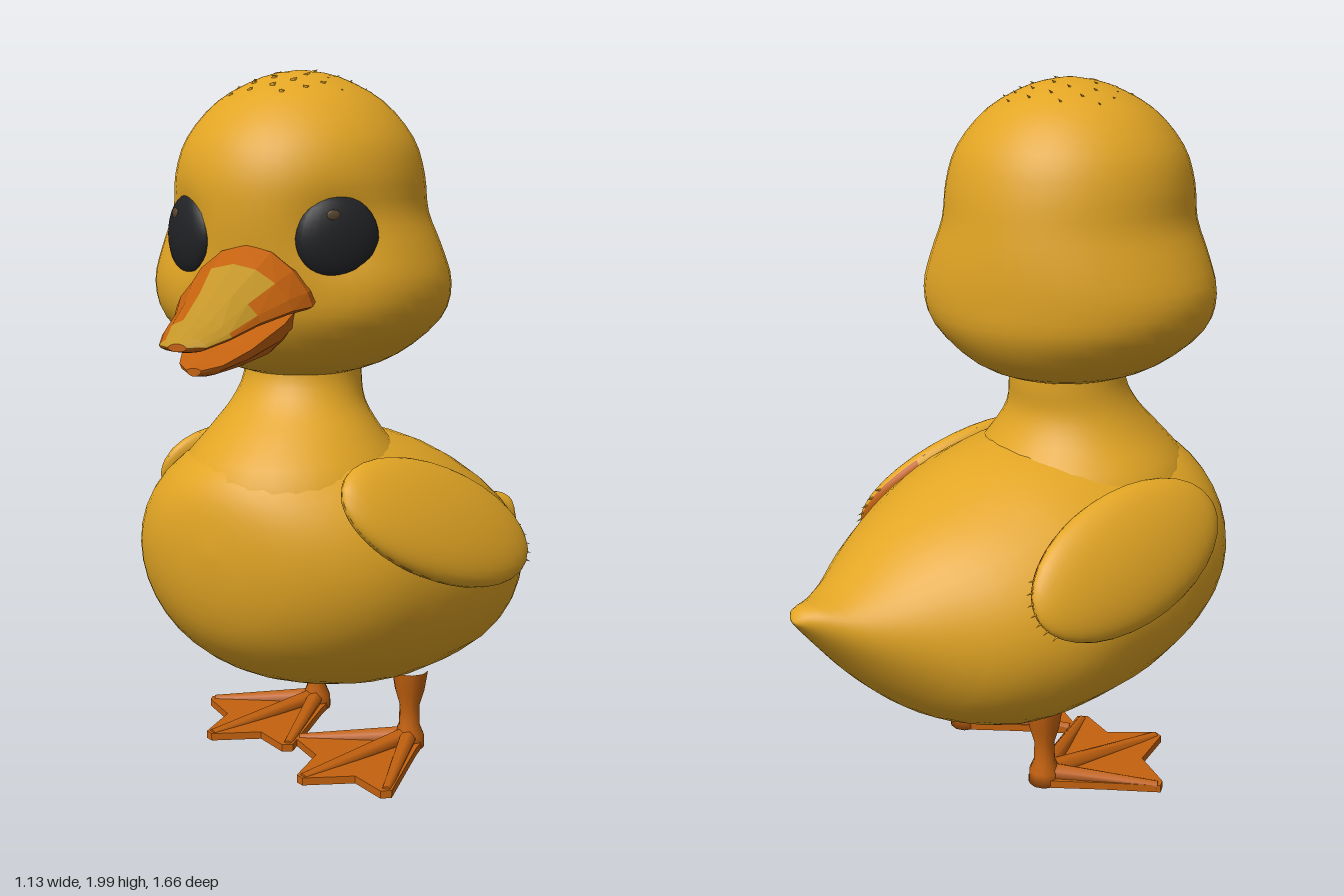
import * as THREE from 'three';

const mat = (name, color) => Object.assign(new THREE.MeshStandardMaterial({ color }), { name });

// Smoothly resample a table of rows (Catmull-Rom on every column)
function resample(rows, steps) {
  const out = [], n = rows.length - 1;
  for (let i = 0; i < n; i++) {
    const [p, a, b, q] = [rows[Math.max(i - 1, 0)], rows[i], rows[i + 1], rows[Math.min(i + 2, n)]];
    for (let s = 0; s < steps; s++) {
      const t = s / steps;
      out.push(a.map((v, k) => v + 0.5 * t * (b[k] - p[k] + t * (2 * p[k] - 5 * v + 4 * b[k] - q[k]
        + t * (3 * (v - b[k]) + q[k] - p[k])))));
    }
  }
  out.push(rows[n]);
  return out;
}

// Closed skin over rows; point(row, angle) gives each vertex, rule picks a material per face
function loft(rows, seg, point, rule = () => 0) {
  const pos = [], faces = [[], []];
  for (const r of rows) for (let j = 0; j < seg; j++) pos.push(...point(r, j / seg * Math.PI * 2));
  const id = (i, j) => i * seg + j % seg;
  for (let i = 0; i < rows.length - 1; i++) for (let j = 0; j < seg; j++) {
    const a = id(i, j), b = id(i, j + 1), c = id(i + 1, j), d = id(i + 1, j + 1);
    const mid = [0, 1, 2].map(k => (pos[a * 3 + k] + pos[b * 3 + k] + pos[c * 3 + k] + pos[d * 3 + k]) / 4);
    faces[rule(mid, (j + 0.5) / seg * Math.PI * 2)].push(a, b, c, b, d, c);
  }
  const last = rows.length - 1;
  for (let j = 1; j < seg - 1; j++) {
    faces[0].push(id(0, 0), id(0, j + 1), id(0, j), id(last, 0), id(last, j), id(last, j + 1));
  }
  const g = new THREE.BufferGeometry();
  g.setAttribute('position', new THREE.Float32BufferAttribute(pos, 3));
  g.setIndex([...faces[0], ...faces[1]]);
  g.addGroup(0, faces[0].length, 0);
  g.addGroup(faces[0].length, faces[1].length, 1);
  g.computeVertexNormals();
  return g;
}

export function createModel() {
  const root = new THREE.Group();
  root.name = 'duckling';
  const down = mat('yellowDown', 0xe2a524), orange = mat('orangeSkin', 0xc4620f);
  const patch = mat('billPatch', 0xc39528), black = mat('eyeBlack', 0x212225);
  const glint = mat('eyeGlint', 0x5a4630), dark = mat('nostrilBrown', 0x5e2c0a);

  const add = (parent, name, geo, material, x = 0, y = 0, z = 0) => {
    const m = new THREE.Mesh(geo, material);
    m.name = name;
    m.position.set(x, y, z);
    parent.add(m);
    return m;
  };

  // Body, from tail to breast: z, top, bottom, half width, centre x
  const bodyRows = resample([
    [-0.83, 0.615, 0.605, 0.01, 0.17], [-0.8, 0.645, 0.57, 0.06, 0.16], [-0.72, 0.66, 0.475, 0.14, 0.13],
    [-0.62, 0.71, 0.36, 0.235, 0.09], [-0.5, 0.8, 0.255, 0.35, 0.04], [-0.35, 0.885, 0.19, 0.435, 0.01],
    [-0.2, 0.95, 0.18, 0.475, -0.01], [0, 0.99, 0.195, 0.49, -0.03], [0.2, 1.0, 0.25, 0.45, -0.06],
    [0.33, 0.96, 0.32, 0.375, -0.08], [0.42, 0.9, 0.42, 0.26, -0.09], [0.465, 0.82, 0.54, 0.14, -0.1],
    [0.48, 0.7, 0.66, 0.02, -0.1]], 3);
  add(root, 'body', loft(bodyRows, 36, ([z, t, b, w, cx], a) =>
    [cx + w * Math.cos(a), (t + b) / 2 + (t - b) / 2 * Math.sin(a), z]), down);

  // Neck, from top down: y, radius x, radius z, centre x, centre z
  const neckRows = resample([
    [1.24, 0.17, 0.17, -0.07, 0.05], [1.14, 0.17, 0.17, -0.07, 0.05], [1.06, 0.195, 0.19, -0.07, 0.075],
    [0.98, 0.25, 0.25, -0.065, 0.1], [0.88, 0.325, 0.33, -0.065, 0.105], [0.75, 0.37, 0.36, -0.06, 0.1]], 3);
  add(root, 'neck', loft(neckRows, 32, ([y, rx, rz, cx, cz], a) =>
    [cx + rx * Math.cos(a), y, cz + rz * Math.sin(a)]), down);

  // Head group, turned a little to its left
  const head = new THREE.Group();
  head.name = 'head';
  head.position.set(-0.06, 0, 0.07);
  head.rotation.y = 0.17;
  root.add(head);

  // Head skin, from top down: y, half width, front radius, back radius; hollowed at the eyes
  const headRows = resample([
    [1.985, 0.01, 0.01, 0.01], [1.965, 0.11, 0.11, 0.11], [1.9, 0.23, 0.24, 0.23], [1.8, 0.315, 0.335, 0.315],
    [1.7, 0.347, 0.375, 0.35], [1.6, 0.358, 0.38, 0.365], [1.5, 0.4, 0.37, 0.375], [1.4, 0.43, 0.355, 0.375],
    [1.3, 0.4, 0.335, 0.36], [1.2, 0.28, 0.265, 0.285], [1.15, 0.15, 0.15, 0.16], [1.13, 0.02, 0.02, 0.02]], 3);
  add(head, 'headSkin', loft(headRows, 48, ([y, w, f, b], a) => {
    const x = w * Math.cos(a), z = (Math.sin(a) > 0 ? f : b) * Math.sin(a);
    const d2 = (Math.abs(x) - 0.235) ** 2 + (y - 1.535) ** 2 + (z - 0.3) ** 2;
    const k = 1 - 0.09 * Math.exp(-d2 / 0.01);
    return [x * k, y, z * k];
  }), down);

  // Eyes
  const ball = new THREE.SphereGeometry(1, 24, 16);
  for (const s of [1, -1]) {
    const eye = new THREE.Group();
    eye.name = s > 0 ? 'leftEye' : 'rightEye';
    eye.rotation.y = s * 0.67;
    eye.position.set(Math.sin(s * 0.67) * 0.345, 1.537, Math.cos(0.67) * 0.345);
    head.add(eye);
    add(eye, 'eyeball', ball, black).scale.set(0.115, 0.112, 0.042);
    add(eye, 'glint', ball, glint, -0.02, 0.06, 0.034).scale.set(0.018, 0.014, 0.005);
  }

  // Bill halves: z, half width, edge y, top y, bottom y
  const billPoint = ([z, w, e, t, b], a) => {
    const s = Math.sin(a);
    return [w * Math.cos(a), e + (s > 0 ? (t - e) * Math.pow(s, 1.5) : (e - b) * s), z];
  };
  const flat = g => {
    const n = g.toNonIndexed();
    n.computeVertexNormals();
    return n;
  };
  const upper = [
    [0.27, 0.16, 1.38, 1.49, 1.36], [0.37, 0.187, 1.365, 1.52, 1.345], [0.45, 0.165, 1.36, 1.475, 1.335],
    [0.55, 0.122, 1.338, 1.415, 1.315], [0.66, 0.095, 1.312, 1.355, 1.292], [0.735, 0.065, 1.295, 1.32, 1.28],
    [0.765, 0.025, 1.295, 1.305, 1.285]];
  add(head, 'upperBill', flat(loft(upper, 16, billPoint, ([x, , z], a) =>
    Math.sin(a) > 0.1 && x > -0.045 && x < 0.09 && z > 0.46 ? 1 : 0)), [orange, patch]);
  const lower = [
    [0.27, 0.12, 1.37, 1.385, 1.25], [0.4, 0.12, 1.32, 1.33, 1.22], [0.55, 0.095, 1.27, 1.275, 1.213],
    [0.64, 0.06, 1.24, 1.245, 1.21], [0.68, 0.02, 1.23, 1.235, 1.215]];
  add(head, 'lowerBill', flat(loft(lower, 14, billPoint)), orange);
  for (const s of [1, -1]) {
    const n = add(head, 'nostril', ball, dark, s * 0.07, 1.452, 0.42);
    n.scale.set(0.008, 0.008, 0.02);
    n.rotation.x = 0.5;
  }

  // Small feathers lying over the crown
  const feather = new THREE.ConeGeometry(0.009, 0.05, 4);
  for (let i = 0; i < 36; i++) {
    const r = 0.04 + 0.16 * Math.sqrt(i / 36), a = i * 2.4;
    const f = add(head, 'crownFeather', feather, down, r * Math.cos(a), 1.982 - 1.75 * r * r, r * Math.sin(a));
    f.rotation.set(-1.25 - r * Math.sin(a), 0.5 * Math.sin(i * 7), 0);
  }

  // Wings: flattened ellipsoids on a skewed frame (u to the tip, v to the upper edge)
  function wing(name, side, centre, u, v) {
    const U = new THREE.Vector3(...u), V = new THREE.Vector3(...v);
    const N = U.clone().cross(V).normalize().multiplyScalar(0.07);
    if (N.x * side < 0) N.negate();
    const frame = new THREE.Matrix4().makeBasis(V, U, N);
    const flip = frame.determinant() < 0;
    const g = new THREE.Group();
    g.name = name;
    g.position.set(...centre);
    root.add(g);
    const piece = (label, phi, t0, t1, material) => {
      const geo = new THREE.SphereGeometry(1, 20, 16, phi, Math.PI, t0, t1 - t0).applyMatrix4(frame);
      if (flip) {
        const ix = geo.index.array;
        for (let i = 0; i < ix.length; i += 3) [ix[i], ix[i + 1]] = [ix[i + 1], ix[i]];
      }
      add(g, label, geo, material);
    };
    piece('outerFeathers', 0, 0, Math.PI, down);
    piece('innerFeathers', Math.PI, 0.9, Math.PI, down);
    piece('tipUnderside', Math.PI, 0, 0.9, orange);
    // Frayed feathers at the wing tip
    for (let i = 0; i < 7; i++) {
      const a = -0.5 + i * 0.15;
      const p = U.clone().multiplyScalar(Math.cos(a) * 0.98).addScaledVector(V, Math.sin(a) * 0.98);
      const f = add(g, 'tipFeather', feather, down, p.x, p.y, p.z);
      f.quaternion.setFromUnitVectors(new THREE.Vector3(0, 1, 0), p.normalize());
    }
  }
  wing('leftWing', 1, [0.385, 0.75, 0.07], [0.12, -0.07, -0.29], [-0.1, 0.17, 0]);
  wing('rightWing', -1, [-0.46, 0.745, -0.2], [0.08, -0.07, -0.31], [0.07, 0.17, 0]);

  // Legs and webbed feet
  const toes = [[0.12, 0.36], [-0.13, 0.41], [-0.3, 0.16]];
  const web = new THREE.Shape([[0.035, -0.03], [0.055, 0.06], [0.135, 0.35], [0.11, 0.37], [0.0, 0.32],
    [-0.12, 0.41], [-0.145, 0.4], [-0.175, 0.25], [-0.295, 0.175], [-0.305, 0.15], [-0.16, 0.06],
    [-0.04, -0.02]].map(p => new THREE.Vector2(...p)));
  const webGeo = new THREE.ExtrudeGeometry(web, { depth: 0.022, bevelEnabled: false }).rotateX(Math.PI / 2);
  const legGeo = new THREE.LatheGeometry([[0, 0], [0.045, 0], [0.045, 0.04], [0.032, 0.07], [0.03, 0.13],
    [0.045, 0.18], [0.055, 0.24]].map(p => new THREE.Vector2(...p)), 10);
  for (const [name, x, z] of [['leftLeg', 0.21, -0.1], ['rightLeg', -0.2, -0.23]]) {
    const leg = new THREE.Group();
    leg.name = name;
    leg.position.set(x, 0, z);
    root.add(leg);
    add(leg, 'shank', legGeo, orange);
    add(leg, 'web', webGeo, orange, 0, 0.022, 0);
    for (const [tx, tz] of toes) {
      const a = new THREE.Vector3(0, 0.035, 0), b = new THREE.Vector3(tx * 0.97, 0.016, tz * 0.97);
      const toe = add(leg, 'toe', new THREE.CylinderGeometry(0.014, 0.028, a.distanceTo(b), 6), orange);
      toe.position.copy(a).lerp(b, 0.5);
      toe.quaternion.setFromUnitVectors(new THREE.Vector3(0, 1, 0), b.clone().sub(a).normalize());
    }
  }
  return root;
}
